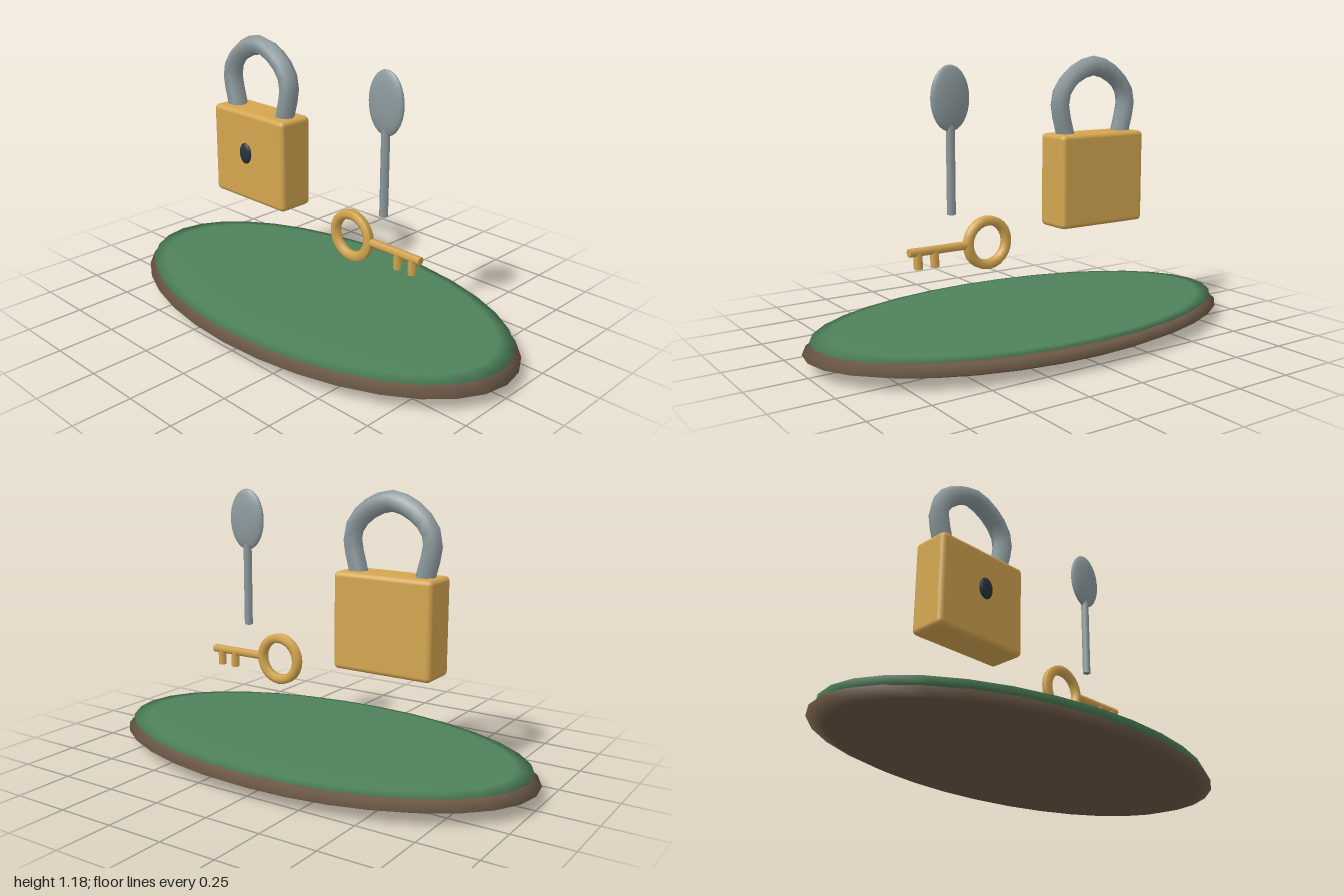
import * as THREE from 'three';
import { RoundedBoxGeometry } from 'three/addons/geometries/RoundedBoxGeometry.js';

const mat = (color) => new THREE.MeshStandardMaterial({ color });
const GOLD = mat(0xd4a650), STEEL = mat(0x8d9a9e), DARK = mat(0x263238);
const BROWN = mat(0x6b5846), GREEN = mat(0x4f825b);

export function createModel() {
  const model = new THREE.Group();

  const add = (parent, name, geometry, material, x = 0, y = 0, z = 0) => {
    const mesh = new THREE.Mesh(geometry, material);
    mesh.name = name;
    mesh.position.set(x, y, z);
    parent.add(mesh);
    return mesh;
  };
  const ellipsoid = (rx, ry, rz, w, h) => new THREE.SphereGeometry(1, w, h).scale(rx, ry, rz);
  const rod = (r, length) => new THREE.CylinderGeometry(r, r, length, 6);
  const group = (name, x, y) => {
    const g = new THREE.Group();
    g.name = name;
    g.position.set(x, y, 0);
    model.add(g);
    return g;
  };

  // Oval base with a green top layer
  add(model, 'base', ellipsoid(1, 0.058, 0.545, 32, 8), BROWN, 0, 0.059);
  add(model, 'greenTop', ellipsoid(0.97, 0.018, 0.525, 32, 8), GREEN, 0, 0.104);

  // Padlock
  const lock = group('padlock', -0.353, 0.653);
  add(lock, 'lockBody', new RoundedBoxGeometry(0.445, 0.405, 0.168, 2, 0.02), GOLD);
  add(lock, 'keyhole', ellipsoid(0.035, 0.047, 0.013, 16, 12), DARK, 0, 0.022, 0.096);

  // Shackle: six-sided tube, frame turned so one edge runs along its outside
  const half = [[-0.145, 0.17], [-0.18, 0.35], [-0.127, 0.435]];
  const points = [...half, [0, 0.49], ...half.map(([x, y]) => [-x, y]).reverse()];
  const path = new THREE.CatmullRomCurve3(points.map(([x, y]) => new THREE.Vector3(x, y, 0)));
  const frames = path.computeFrenetFrames.bind(path);
  path.computeFrenetFrames = (n, closed) => {
    const f = frames(n, closed);
    return {
      tangents: f.tangents,
      normals: f.binormals,
      binormals: f.normals.map((v) => v.clone().negate()),
    };
  };
  add(lock, 'shackle', new THREE.TubeGeometry(path, 16, 0.043, 6), STEEL);

  // Key: six-sided ring, shaft and two teeth
  const key = group('key', 0.2, 0.425);
  const ring = [];
  for (let i = 0; i <= 6; i++) {
    const a = Math.PI / 6 + (i * Math.PI) / 3;
    ring.push(new THREE.Vector2(0.0925 + 0.0225 * Math.cos(a), 0.0235 * Math.sin(a)));
  }
  add(key, 'keyRing', new THREE.LatheGeometry(ring, 24).rotateX(Math.PI / 2), GOLD);
  add(key, 'keyShaft', rod(0.018, 0.272).rotateZ(Math.PI / 2), GOLD, 0.231);
  for (const x of [0.25, 0.325]) add(key, 'keyTooth', rod(0.018, 0.07), GOLD, x, -0.035);

  // Spoon
  const spoon = group('spoon', 0.37, 1.027);
  add(spoon, 'spoonBowl', ellipsoid(0.089, 0.132, 0.024, 20, 16), STEEL);
  add(spoon, 'spoonHandle', rod(0.018, 0.36), STEEL, 0, -0.287);

  return model;
}
